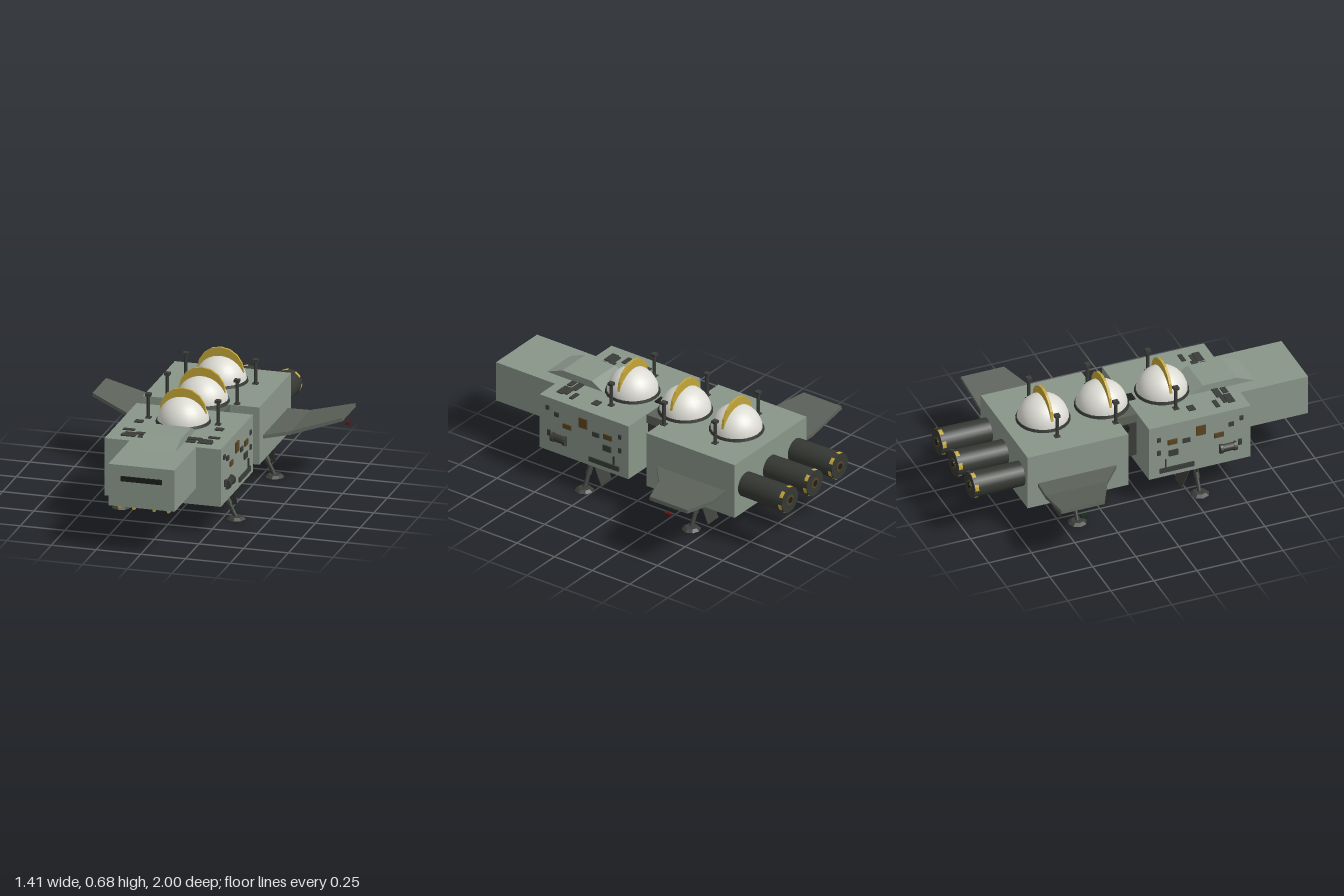
import * as THREE from 'three';

const mat = (color) => new THREE.MeshStandardMaterial({ color, side: THREE.DoubleSide });
const flat = (color) => new THREE.MeshStandardMaterial({ color, side: THREE.DoubleSide, flatShading: true });

export function createModel() {
  const root = new THREE.Group();
  const hull = flat(0x8a968a), dark = flat(0x3a3d38), black = flat(0x1c1e1c);
  const wingGrey = flat(0x5c625a), gold = flat(0xc4a63a), brown = flat(0x5a4522);
  const glass = mat(0xdcdcd4), darkSmooth = mat(0x353833);

  const add = (name, geo, material, x = 0, y = 0, z = 0, parent = root) => {
    const m = new THREE.Mesh(geo, material);
    m.name = name;
    m.position.set(x, y, z);
    parent.add(m);
    return m;
  };
  const box = (name, material, w, h, d, x, y, z, parent) =>
    add(name, new THREE.BoxGeometry(w, h, d), material, x, y, z, parent);
  const group = (name, x = 0, y = 0, z = 0) => {
    const g = new THREE.Group();
    g.name = name;
    g.position.set(x, y, z);
    root.add(g);
    return g;
  };
  // Cylinder running between two points
  const rod = (name, material, a, b, r0, r1, sides, parent) => {
    const p = new THREE.Vector3(...a), q = new THREE.Vector3(...b);
    const dir = q.clone().sub(p);
    const m = add(name, new THREE.CylinderGeometry(r1, r0, dir.length(), sides), material, 0, 0, 0, parent);
    m.position.copy(p).add(q).multiplyScalar(0.5);
    m.quaternion.setFromUnitVectors(new THREE.Vector3(0, 1, 0), dir.normalize());
    return m;
  };

  // Main hull blocks
  box('frontHull', hull, 0.65, 0.325, 0.59, 0, 0.3275, 0.3);
  box('rearHull', hull, 0.65, 0.325, 0.585, 0, 0.3275, -0.4075);
  box('nose', hull, 0.37, 0.235, 0.4, 0, 0.3725, 0.787);
  box('connector', dark, 0.3, 0.22, 0.13, 0, 0.33, -0.05);
  box('connectorRoof', wingGrey, 0.32, 0.05, 0.13, 0, 0.462, -0.05);
  for (const s of [-1, 1]) box('connectorLatch', black, 0.02, 0.03, 0.03, s * 0.16, 0.41, -0.06);
  box('roofHatch', black, 0.06, 0.012, 0.04, 0, 0.49, 0.03);
  box('noseSlot', black, 0.23, 0.028, 0.02, 0, 0.415, 0.985);

  // Sloped canopy on the roof
  const hump = new THREE.Shape([[0.33, 0.485], [0.72, 0.485], [0.605, 0.532], [0.41, 0.532]]
    .map((p) => new THREE.Vector2(...p)));
  const humpGeo = new THREE.ExtrudeGeometry(hump, { depth: 0.21, bevelEnabled: false });
  humpGeo.translate(0, 0, -0.105).rotateY(-Math.PI / 2);
  add('canopy', humpGeo, hull);

  // Domes, each with a collar, a gold crest and two posts
  for (const z of [0.215, -0.135, -0.475]) {
    const g = group('dome', 0, 0.49, z);
    add('domeCollar', new THREE.CylinderGeometry(0.145, 0.152, 0.022, 24), darkSmooth, 0, 0.003, 0, g);
    add('domeShell', new THREE.SphereGeometry(0.141, 24, 10, 0, Math.PI * 2, 0, Math.PI / 2), glass, 0, 0, 0, g);
    const crest = new THREE.CylinderGeometry(0.13, 0.13, 0.014, 16);
    add('domeCrest', crest.rotateX(Math.PI / 2), gold, 0, 0.06, 0, g);
    for (const s of [-1, 1]) {
      add('post', new THREE.CylinderGeometry(0.01, 0.01, 0.13, 8), dark, s * 0.195, 0.065, 0, g);
      box('postCap', dark, 0.03, 0.015, 0.03, s * 0.195, 0.133, 0, g);
      box('postBase', dark, 0.03, 0.008, 0.03, s * 0.195, 0.002, 0, g);
    }
  }

  // Engines with gold rim marks
  for (const x of [-0.225, 0, 0.225]) {
    const g = group('engine', x, 0.33, -0.7);
    rod('engineTube', darkSmooth, [0, 0, 0.02], [0, 0, -0.295], 0.069, 0.073, 24, g);
    for (let i = 0; i < 6; i++) {
      const mark = new THREE.CylinderGeometry(0.0745, 0.0745, 0.022, 4, 1, true, i * Math.PI / 3, 0.5);
      add('rimMark', mark.rotateX(Math.PI / 2), gold, 0, 0, -0.281, g);
    }
    rod('nozzleRing', brown, [0, 0, -0.28], [0, 0, -0.297], 0.03, 0.03, 16, g);
    rod('nozzleCore', black, [0, 0, -0.28], [0, 0, -0.3], 0.018, 0.018, 12, g);
  }

  // Wings: bent profile with the leading and trailing edges swept by a rule
  const edge = (x, a, b, c) => (x < 0.45
    ? THREE.MathUtils.mapLinear(x, 0.32, 0.45, a, b)
    : THREE.MathUtils.mapLinear(x, 0.45, 0.7, b, c));
  for (const s of [-1, 1]) {
    const profile = [[0.32, 0.29], [0.45, 0.29], [0.7, 0.35], [0.697, 0.37], [0.45, 0.31], [0.32, 0.31]];
    const shape = new THREE.Shape(profile.map(([x, y]) => new THREE.Vector2(s * x, y)));
    const geo = new THREE.ExtrudeGeometry(shape, { depth: 1, bevelEnabled: false });
    const p = geo.attributes.position;
    for (let i = 0; i < p.count; i++) {
      const x = Math.abs(p.getX(i));
      p.setZ(i, THREE.MathUtils.lerp(edge(x, -0.64, -0.647, -0.66), edge(x, -0.18, -0.29, -0.41), p.getZ(i)));
    }
    geo.computeVertexNormals();
    add('wing', geo, wingGrey);
    box('wingLight', flat(s > 0 ? 0x5a1414 : 0x14301c), 0.016, 0.016, 0.036, s * 0.695, 0.302, -0.53);
  }

  // Landing legs with tilted doors
  for (const z of [0.3, -0.41]) for (const s of [-1, 1]) {
    const g = group('landingLeg', 0, 0, z);
    box('legBay', black, 0.1, 0.012, 0.115, s * 0.25, 0.16, 0, g);
    rod('legUpper', dark, [s * 0.245, 0.165, 0], [s * 0.285, 0.08, 0], 0.017, 0.017, 10, g);
    rod('legLower', dark, [s * 0.275, 0.1, 0], [s * 0.318, 0.012, 0], 0.012, 0.012, 10, g);
    rod('legBrace', dark, [s * 0.29, 0.155, 0], [s * 0.275, 0.09, 0], 0.007, 0.007, 6, g);
    for (const dz of [-0.025, 0.025]) box('legPivot', gold, 0.025, 0.012, 0.012, s * 0.245, 0.15, dz, g);
    add('foot', new THREE.CylinderGeometry(0.035, 0.053, 0.014, 8), dark, s * 0.322, 0.007, 0, g);
    const door = box('legDoor', dark, 0.095, 0.118, 0.005, s * 0.252, 0.101, -0.07, g);
    door.rotation.x = 0.4;
  }

  // Gun pods below the nose
  for (const x of [-0.137, -0.057, 0.057, 0.137]) {
    const g = group('gunPod', x, 0.235, 0);
    rod('gunBarrel', dark, [0, 0, 0.81], [0, 0, 0.942], 0.01, 0.01, 8, g);
    rod('gunTip', gold, [0, 0, 0.938], [0, 0, 0.947], 0.011, 0.008, 8, g);
    box('gunMount', dark, 0.012, 0.022, 0.05, 0, 0.012, 0.85, g);
  }

  // Side fittings: z, y, length, height, material
  const fittings = [
    [0.54, 0.43, 0.022, 0.025, dark], [0.48, 0.405, 0.03, 0.025, dark], [0.41, 0.353, 0.054, 0.028, brown],
    [0.305, 0.41, 0.054, 0.058, brown], [0.22, 0.368, 0.043, 0.026, dark], [0.14, 0.378, 0.054, 0.03, brown],
    [0.06, 0.408, 0.02, 0.025, dark], [0.145, 0.308, 0.054, 0.035, dark], [0.06, 0.325, 0.02, 0.028, dark],
    [0.53, 0.278, 0.02, 0.035, dark], [0.165, 0.207, 0.2, 0.028, dark], [0.1, 0.25, 0.008, 0.05, dark],
  ];
  // Roof fittings: x, z, width, length
  const roof = [[0.225, 0.29, 0.046, 0.04], [0.238, 0.43, 0.064, 0.024], [0.145, 0.475, 0.08, 0.035],
    [0.215, 0.515, 0.08, 0.04], [0.135, 0.52, 0.05, 0.03], [0.215, 0.482, 0.06, 0.02]];
  for (const s of [-1, 1]) {
    for (const [z, y, l, h, m] of fittings) box('sideFitting', m, 0.016, h, l, s * 0.325, y, z);
    for (const [x, z, w, l] of roof) box('roofFitting', dark, w, 0.012, l, s * x, 0.49, z);
    rod('sideTank', darkSmooth, [s * 0.328, 0.262, 0.415], [s * 0.328, 0.262, 0.505], 0.023, 0.023, 14);
    for (const z of [0.42, 0.5]) rod('tankBand', dark, [s * 0.328, 0.262, z - 0.008], [s * 0.328, 0.262, z + 0.008], 0.028, 0.028, 14);
  }

  // Belly vents
  for (let i = 0; i < 4; i++) box('bellyVent', black, 0.05, 0.014, 0.026, 0, 0.163, 0.025 + i * 0.04);

  return root;
}
